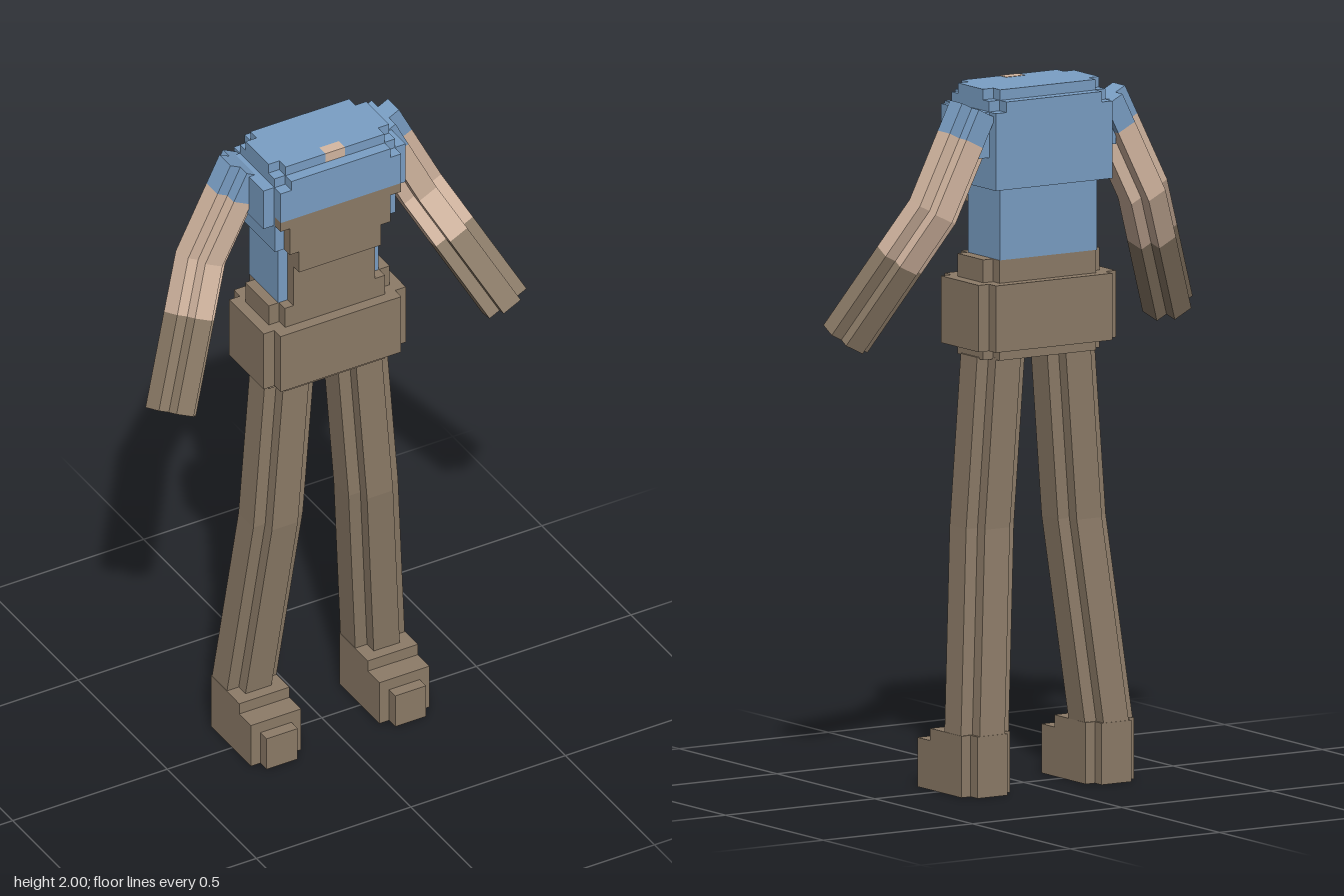
import * as THREE from 'three';

const material = (name, color) => {
  const m = new THREE.MeshStandardMaterial({ color });
  m.name = name;
  return m;
};

// Outline of a rectangle with a square step cut from each corner
function steppedOutline(x0, x1, y0, y1, n) {
  const quad = [[x1, y1, -1, -1], [x0, y1, 1, -1], [x0, y0, 1, 1], [x1, y0, -1, 1]];
  const pts = [];
  quad.forEach(([x, y, sx, sy], i) => {
    const inX = [x + sx * n, y], inY = [x, y + sy * n], corner = [x + sx * n, y + sy * n];
    pts.push(...(i % 2 ? [inX, corner, inY] : [inY, corner, inX]));
  });
  return pts.map(([a, b]) => new THREE.Vector2(a, b));
}

// Horizontal slab, with stepped corners where notch > 0
function slabGeometry([x0, x1], [y0, y1], [z0, z1], notch = 0) {
  if (!notch) {
    return new THREE.BoxGeometry(x1 - x0, y1 - y0, z1 - z0)
      .translate((x0 + x1) / 2, (y0 + y1) / 2, (z0 + z1) / 2);
  }
  const shape = new THREE.Shape(steppedOutline(x0, x1, -z1, -z0, notch));
  return new THREE.ExtrudeGeometry(shape, { depth: y1 - y0, bevelEnabled: false })
    .rotateX(-Math.PI / 2).translate(0, y0, 0);
}

// Limb piece between two stepped cross-sections; each ring is {c, u, v}
function limbGeometry(a, b, width, notch) {
  const h = width / 2;
  const outline = steppedOutline(-h, h, -h, h, notch);
  const place = (r, p) => r.c.clone().addScaledVector(r.u, p.x).addScaledVector(r.v, p.y);
  const A = outline.map((p) => place(a, p)), B = outline.map((p) => place(b, p));
  const tris = [];
  const n = outline.length;
  for (let i = 0; i < n; i++) {
    const j = (i + 1) % n;
    tris.push(A[i], A[j], B[j], A[i], B[j], B[i]);
  }
  for (const [i, j, k] of THREE.ShapeUtils.triangulateShape(outline, [])) {
    tris.push(A[k], A[j], A[i], B[i], B[j], B[k]);
  }
  // Reverse the corners if the rings run against u x v
  const along = b.c.clone().sub(a.c);
  if (a.u.clone().cross(a.v).dot(along) < 0) {
    for (let i = 0; i < tris.length; i += 3) [tris[i + 1], tris[i + 2]] = [tris[i + 2], tris[i + 1]];
  }
  const g = new THREE.BufferGeometry().setFromPoints(tris);
  g.computeVertexNormals();
  return g;
}

export function createModel() {
  const blue = material('shirtBlue', 0x7ba0c6);
  const brown = material('clothBrown', 0x8d7c68);
  const skin = material('skin', 0xd6b9a3);
  const model = new THREE.Group();
  model.name = 'figure';

  const add = (parent, name, geometry, mat) => {
    const mesh = new THREE.Mesh(geometry, mat);
    mesh.name = name;
    parent.add(mesh);
  };

  // Torso: stacked slabs [name, x range, y range, z range, corner step, material]
  const torso = new THREE.Group();
  torso.name = 'torso';
  model.add(torso);
  const full = [-0.2, 0.19];
  const slabs = [
    ['shoulderCap', full, [1.97, 2], [-0.115, 0.083], 0.035, blue],
    ['shoulderStep', full, [1.94, 1.97], [-0.147, 0.116], 0.035, blue],
    ['chestCore', full, [1.72, 1.94], [-0.147, 0.083], 0, blue],
    ['shirtYoke', full, [1.84, 1.94], [0.083, 0.116], 0, blue],
    ['armholes', [-0.235, 0.225], [1.81, 1.94], [-0.113, 0.08], 0, blue],
    ['bibTop', full, [1.81, 1.84], [0.083, 0.116], 0, brown],
    ['bibMiddle', [-0.17, 0.155], [1.72, 1.81], [0.083, 0.116], 0, brown],
    ['bibLower', [-0.14, 0.125], [1.65, 1.72], [0.05, 0.116], 0, brown],
    ['waist', [-0.17, 0.155], [1.515, 1.72], [-0.115, 0.05], 0, blue],
    ['waistFront', [-0.14, 0.125], [1.515, 1.65], [0.05, 0.083], 0, brown],
    ['hips', full, [1.45, 1.515], [-0.115, 0.083], 0.033, brown],
    ['belt', [-0.235, 0.225], [1.26, 1.45], [-0.147, 0.116], 0.035, brown],
    ['seat', full, [1.23, 1.26], [-0.115, 0.083], 0.033, brown],
    ['neckPatch', [-0.036, 0.027], [1.971, 2.001], [0.05, 0.084], 0, skin],
  ];
  for (const [name, x, y, z, notch, mat] of slabs) add(torso, name, slabGeometry(x, y, z, notch), mat);

  const V = (x, y, z) => new THREE.Vector3(x, y, z);
  for (const side of [1, -1]) {
    const label = side > 0 ? 'left' : 'right';

    // Arm: straight to the elbow, then bent forward
    const arm = new THREE.Group();
    arm.name = label + 'Arm';
    model.add(arm);
    const shoulder = V(0.213, 1.94, -0.067), elbow = V(0.352, 1.665, -0.067), hand = V(0.54, 1.298, 0.092);
    const dir1 = elbow.clone().sub(shoulder).normalize(), dir2 = hand.clone().sub(elbow).normalize();
    const u = V(-dir1.y, dir1.x, 0);
    const v1 = u.clone().cross(dir1), v2 = u.clone().cross(dir2).normalize();
    const vMid = v1.clone().add(v2).normalize();
    const ring = (c, v) => ({
      c: V(c.x * side - 0.002, c.y, c.z),
      u: V(u.x * side, u.y, u.z),
      v: V(v.x * side, v.y, v.z),
    });
    const cuff = shoulder.clone().lerp(elbow, 0.3), wrist = elbow.clone().lerp(hand, 0.38);
    const rings = [ring(shoulder, v1), ring(cuff, v1), ring(elbow, vMid), ring(wrist, v2), ring(hand, v2)];
    const pieces = [['sleeve', blue], ['upperArm', skin], ['forearm', skin], ['glove', brown]];
    pieces.forEach(([name, mat], i) => add(arm, name, limbGeometry(rings[i], rings[i + 1], 0.134, 0.036), mat));

    // Leg: hip, knee and ankle sections kept level
    const leg = new THREE.Group();
    leg.name = label + 'Leg';
    model.add(leg);
    const level = (x, y, z) => ({ c: V(x * side - 0.001, y, z), u: V(1, 0, 0), v: V(0, 0, 1) });
    const hip = level(0.117, 1.235, -0.018), knee = level(0.154, 0.75, -0.018), ankle = level(0.208, 0.17, -0.074);
    add(leg, 'thigh', limbGeometry(hip, knee, 0.16, 0.038), brown);
    add(leg, 'shin', limbGeometry(knee, ankle, 0.16, 0.038), brown);

    // Foot: stepped down toward the toe
    const cx = 0.208 * side - 0.001;
    const span = (h) => [cx - h, cx + h];
    add(leg, 'heel', slabGeometry(span(0.05), [0, 0.175], [-0.155, -0.12]), brown);
    add(leg, 'ankleBlock', slabGeometry(span(0.081), [0, 0.175], [-0.12, 0.04]), brown);
    add(leg, 'instep', slabGeometry(span(0.081), [0, 0.14], [0.04, 0.105]), brown);
    add(leg, 'toe', slabGeometry(span(0.05), [0, 0.105], [0.105, 0.14]), brown);
  }
  return model;
}
